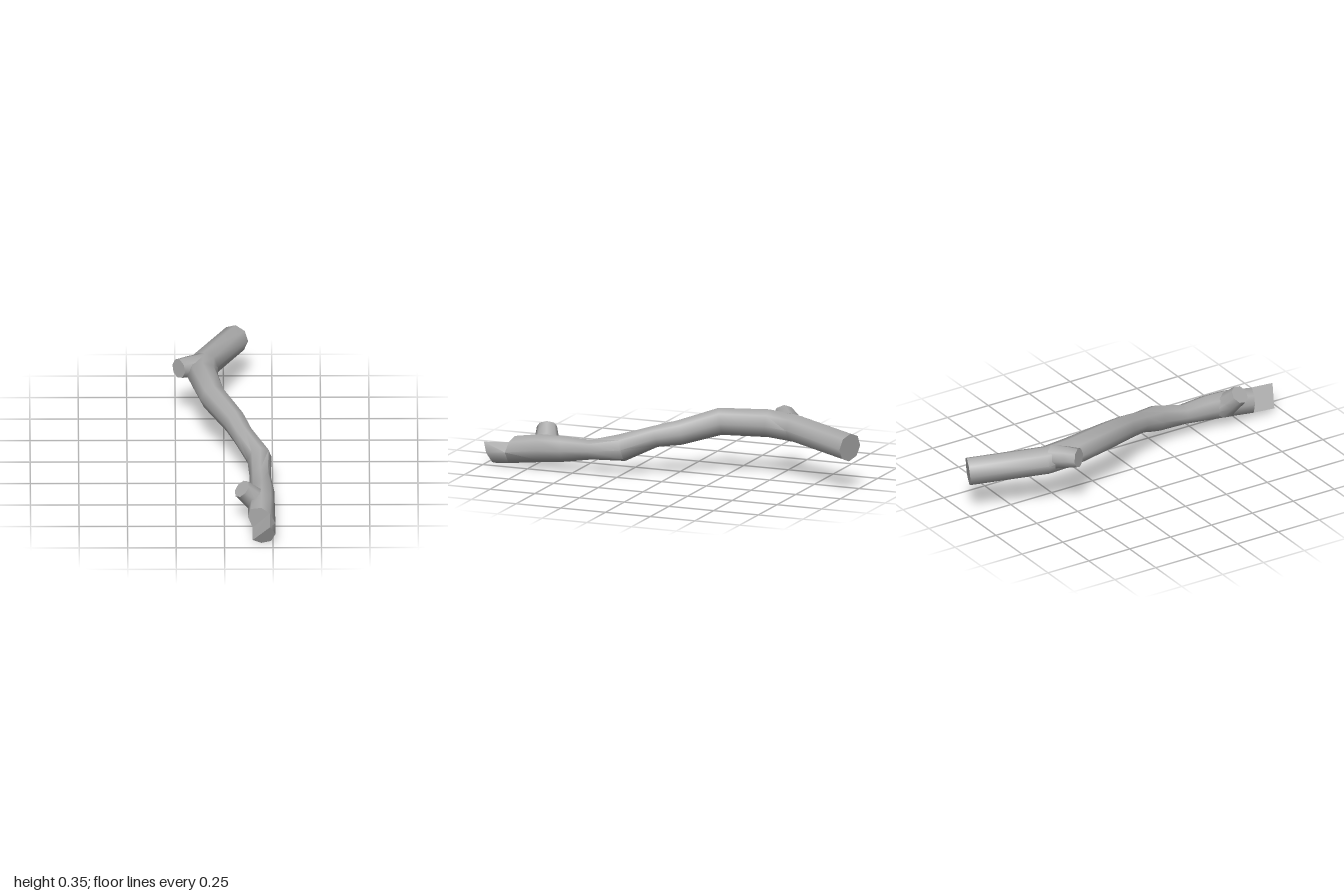
import * as THREE from 'three';
import { toCreasedNormals } from 'three/addons/utils/BufferGeometryUtils.js';

const V = (x, y, z) => new THREE.Vector3(x, y, z);
const SIDES = 8;

// Octagon around a centre, square to direction t
function ring(c, t, ru, rv) {
  const u = V(0, 1, 0).cross(t).normalize();
  const v = t.clone().cross(u).normalize();
  return Array.from({ length: SIDES }, (_, k) => {
    const a = (k / SIDES) * Math.PI * 2;
    return c.clone().addScaledVector(u, ru * Math.cos(a)).addScaledVector(v, rv * Math.sin(a));
  });
}

// Rings along a path of [x, y, z, halfWidth, halfHeight]
function ringsAlong(path) {
  const pts = path.map(p => V(p[0], p[1], p[2]));
  return path.map((p, i) => {
    const a = pts[Math.max(i - 1, 0)], b = pts[Math.min(i + 1, pts.length - 1)];
    return ring(pts[i], b.clone().sub(a).normalize(), p[3], p[4]);
  });
}

// Closed skin through rings, with flat caps
function loft(rings) {
  const n = rings[0].length, last = (rings.length - 1) * n;
  const pos = rings.flat().flatMap(p => [p.x, p.y, p.z]);
  const idx = [];
  for (let i = 0; i < rings.length - 1; i++) {
    for (let k = 0; k < n; k++) {
      const a = i * n + k, b = i * n + (k + 1) % n;
      idx.push(a, b, b + n, a, b + n, a + n);
    }
  }
  for (let k = 1; k < n - 1; k++) {
    idx.push(0, k + 1, k);
    idx.push(last, last + k, last + k + 1);
  }
  const g = new THREE.BufferGeometry();
  g.setAttribute('position', new THREE.Float32BufferAttribute(pos, 3));
  g.setIndex(idx);
  return toCreasedNormals(g, 0.9);
}

export function createModel() {
  const group = new THREE.Group();
  const bark = new THREE.MeshStandardMaterial({ color: 0xaaaaaa });
  bark.name = 'grey bark';
  const add = (name, rings) => {
    const m = new THREE.Mesh(loft(rings), bark);
    m.name = name;
    group.add(m);
  };

  // Crooked main limb, back to front
  const limb = ringsAlong([
    [0.06, 0.23, -0.973, 0.074, 0.075],
    [-0.102, 0.263, -0.6, 0.077, 0.074],
    [-0.108, 0.275, -0.45, 0.08, 0.074],
    [-0.055, 0.274, -0.2, 0.069, 0.072],
    [0.055, 0.222, -0.02, 0.062, 0.066],
    [0.1, 0.2, 0.1, 0.058, 0.057],
    [0.182, 0.145, 0.25, 0.065, 0.072],
    [0.186, 0.12, 0.42, 0.055, 0.052],
    [0.194, 0.112, 0.57, 0.064, 0.068],
    [0.192, 0.104, 0.7, 0.068, 0.074],
  ]);
  // Broken front edge, slanting in plan
  const broken = [
    [0.263, 0.08], [0.235, 0.13], [0.19, 0.155], [0.135, 0.138],
    [0.12, 0.095], [0.145, 0.034], [0.19, 0.012], [0.24, 0.027],
  ].map(([x, y]) => V(x, y, 0.82 + 0.36 * (x - 0.12)));
  add('mainLimb', [...limb, broken]);

  // Splintered lower half reaching past the break
  const lower = [5, 6, 7, 0, 1].map(k => broken[k]);
  const tip = lower.map(p => {
    const y = p.y - 0.01;
    return V(p.x, y, 0.943 + 0.48 * y);
  });
  add('splinter', [lower, tip]);

  // Sawn stub at the back bend
  add('backStub', ringsAlong([
    [-0.11, 0.278, -0.565, 0.07, 0.065],
    [-0.185, 0.292, -0.515, 0.058, 0.058],
    [-0.232, 0.3, -0.482, 0.056, 0.05],
  ]));

  // Short knot near the front
  add('frontKnot', ringsAlong([
    [0.182, 0.1, 0.67, 0.085, 0.065],
    [0.135, 0.15, 0.69, 0.062, 0.056],
    [0.09, 0.197, 0.708, 0.052, 0.05],
  ]));

  return group;
}
